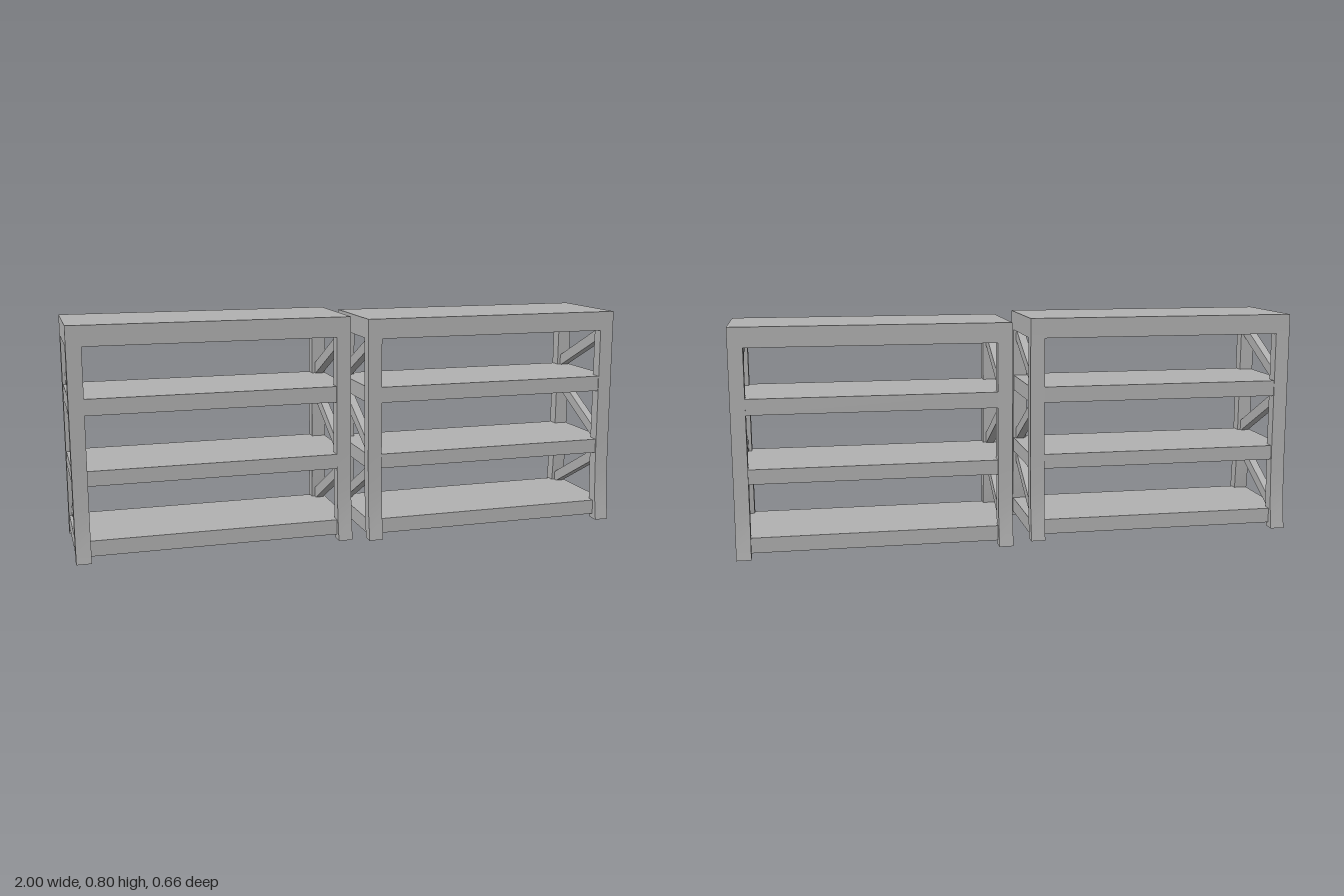
import * as THREE from 'three';

const W = 0.948, D = 0.362;      // unit width and depth
const PW = 0.05, PD = 0.042;     // post width and depth
const FOOT = 0.005;
// bottom and top height of each shelf
const LEVELS = [[0.022, 0.075], [0.26, 0.311], [0.495, 0.55], [0.72, 0.789]];

const grey = new THREE.MeshStandardMaterial({ color: 0xb0b0b0 });
grey.name = 'grey';

function add(group, name, geometry, x, y, z) {
  const mesh = new THREE.Mesh(geometry, grey);
  mesh.name = name;
  mesh.position.set(x, y, z);
  group.add(mesh);
  return mesh;
}

// Move every vertex by a rule
function bend(geometry, rule) {
  const p = geometry.attributes.position, v = new THREE.Vector3();
  for (let i = 0; i < p.count; i++) {
    rule(v.fromBufferAttribute(p, i));
    p.setXYZ(i, v.x, v.y, v.z);
  }
  geometry.computeVertexNormals();
  return geometry;
}

// Corner post whose foot kicks outward near the floor
function postGeometry(side) {
  const h = LEVELS[3][0] + 0.01 - FOOT;
  return bend(new THREE.BoxGeometry(PW, h, PD, 1, 8, 1), v => {
    const t = 0.5 - v.y / h;
    v.z += side * (0.004 * t + 0.02 * Math.pow(t, 8));
  });
}

// Sloping brace with upright ends, running from the back (y0) to the front (y1)
function braceGeometry(y0, y1) {
  const length = D - 2 * PD + 0.02;
  return bend(new THREE.BoxGeometry(0.028, 0.042, length), v => {
    v.y += (y1 - y0) * v.z / length;
  });
}

function shelfUnit(name) {
  const unit = new THREE.Group();
  unit.name = name;

  // Shelves and full-size top
  LEVELS.forEach(([lo, hi], i) => {
    const inset = i === 3 ? 0 : 0.004;
    add(unit, i === 3 ? 'topPanel' : 'shelf' + (i + 1),
      new THREE.BoxGeometry(W - inset, hi - lo, D - inset), 0, (lo + hi) / 2, 0);
  });

  for (const sx of [-1, 1]) {
    const x = sx * (W - PW) / 2;
    // Front and back posts
    for (const sz of [-1, 1]) {
      add(unit, sz > 0 ? 'frontPost' : 'backPost', postGeometry(sz),
        x, (FOOT + LEVELS[3][0] + 0.01) / 2, sz * (D - PD) / 2);
    }
    // Zigzag braces on each end
    for (let i = 0; i < 3; i++) {
      const lo = LEVELS[i][1] + 0.012, hi = LEVELS[i + 1][0] - 0.014;
      const geometry = i === 1 ? braceGeometry(hi, lo) : braceGeometry(lo, hi);
      add(unit, 'endBrace', geometry, x, (lo + hi) / 2, 0);
    }
  }
  return unit;
}

export function createModel() {
  const model = new THREE.Group();
  model.name = 'shelves';
  // Two staggered units, both turned slightly
  const units = [['rightShelfUnit', -0.505, 0.012, 0.057], ['leftShelfUnit', 0.5, 0, -0.077]];
  for (const [name, x, y, z] of units) {
    const unit = shelfUnit(name);
    unit.position.set(x, y, z);
    unit.rotation.y = 0.126;
    model.add(unit);
  }
  return model;
}
